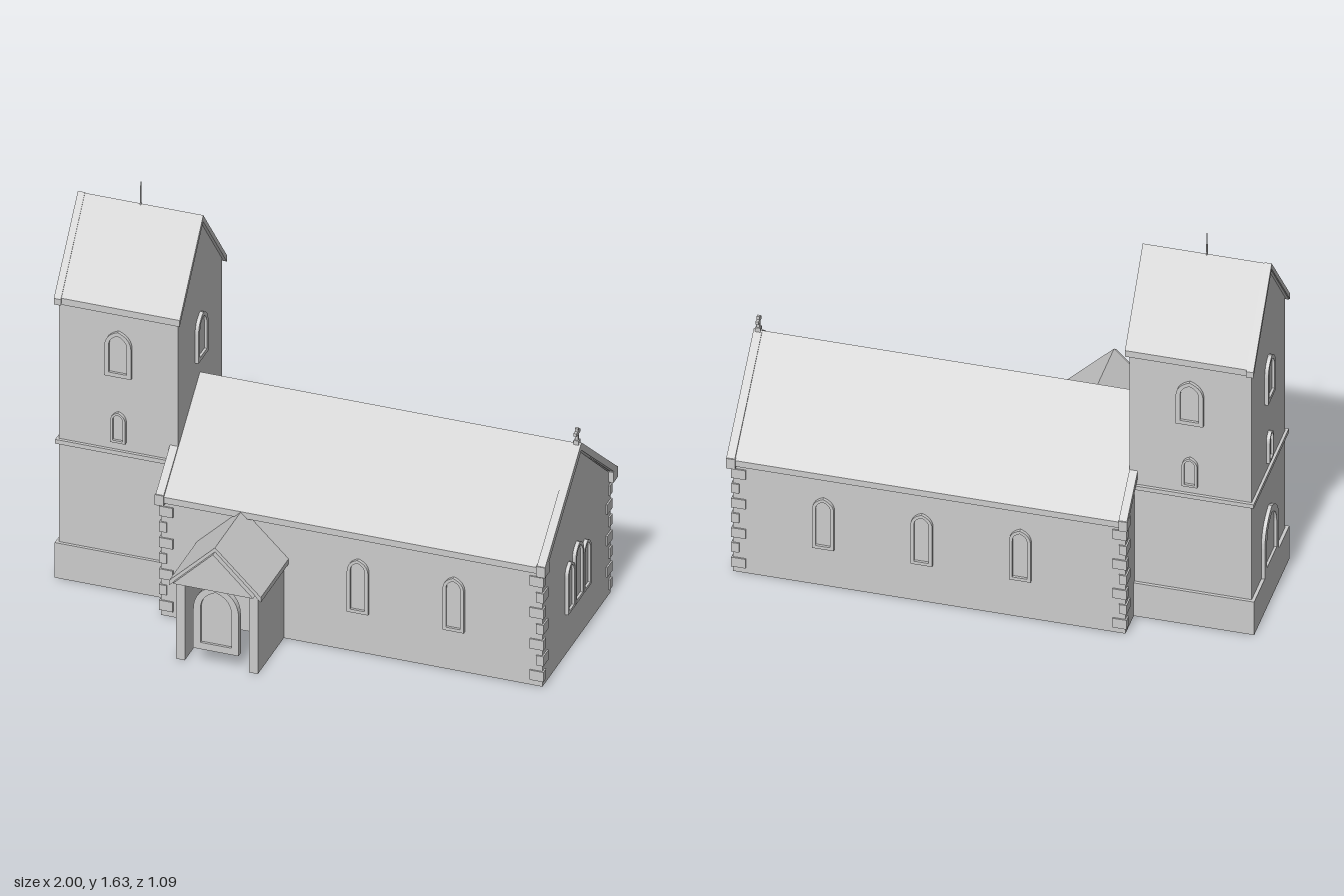
import * as THREE from 'three';

const ZC = -0.147; // centre line of nave and tower

export function createModel() {
  const model = new THREE.Group();
  const stone = new THREE.MeshStandardMaterial({ color: 0xcccccc });
  stone.name = 'paleStone';

  function add(geometry, name, parent = model) {
    const mesh = new THREE.Mesh(geometry, stone);
    mesh.name = name;
    parent.add(mesh);
    return mesh;
  }
  // box given by its limits
  function block(name, x0, x1, y0, y1, z0, z1, parent) {
    const mesh = add(new THREE.BoxGeometry(x1 - x0, y1 - y0, z1 - z0), name, parent);
    mesh.position.set((x0 + x1) / 2, (y0 + y1) / 2, (z0 + z1) / 2);
    return mesh;
  }
  const polygon = pts => new THREE.Shape(pts.map(p => new THREE.Vector2(...p)));
  const extrude = (shape, depth) =>
    new THREE.ExtrudeGeometry(shape, { depth, bevelEnabled: false, curveSegments: 8 });
  // symmetric section extruded along x
  function alongX(name, shape, x0, x1) {
    const mesh = add(extrude(shape, x1 - x0).rotateY(Math.PI / 2), name);
    mesh.position.set(x0, 0, ZC);
    return mesh;
  }
  const gable = (half, base, eave, apex) =>
    polygon([[-half, base], [half, base], [half, eave], [0, apex], [-half, eave]]);
  const chevron = (half, eave, apex, t) =>
    polygon([[-half, eave - t], [0, apex - t], [half, eave - t], [half, eave], [0, apex], [-half, eave]]);

  function arch(w, h, lift = 0, Type = THREE.Shape) {
    const s = new Type();
    const r = w / 2, spring = h - w * 0.65;
    s.moveTo(-r, lift);
    s.lineTo(r, lift);
    s.lineTo(r, spring);
    s.quadraticCurveTo(r, h - w * 0.18, 0, h);
    s.quadraticCurveTo(-r, h - w * 0.18, -r, spring);
    s.closePath();
    return s;
  }
  // raised arched surround with a shallow pane, facing by angle
  function arched(name, x, y, z, w, h, angle) {
    const group = new THREE.Group();
    group.name = name;
    const frame = arch(w, h);
    const rim = w * 0.16;
    frame.holes.push(arch(w - 2 * rim, h - rim, rim, THREE.Path));
    add(extrude(frame, 0.014), 'surround', group);
    add(extrude(arch(w - rim, h - rim / 2, rim / 2), 0.004), 'pane', group);
    group.position.set(x, y, z);
    group.rotation.y = angle;
    model.add(group);
  }
  const SOUTH = 0, EAST = Math.PI / 2, NORTH = Math.PI, WEST = -Math.PI / 2;

  // nave
  const naveHalf = 0.367;
  alongX('naveWalls', gable(naveHalf, 0, 0.515, 0.825), -0.535, 0.98);
  alongX('naveRoof', chevron(0.39, 0.527, 0.853, 0.027), -0.53, 0.985);
  for (const [x0, x1] of [[-0.547, -0.515], [0.967, 1.0]]) {
    alongX('gableCoping', chevron(0.395, 0.532, 0.858, 0.033), x0, x1);
    for (const s of [-1, 1]) {
      const z = ZC + s * 0.37;
      block('kneeler', x0 - 0.002, x1, 0.49, 0.535, z - 0.026, z + 0.026);
    }
  }

  // corner stones, alternately long and short
  for (const [cx, sx] of [[-0.535, -1], [0.98, 1]]) {
    for (const sz of [-1, 1]) {
      for (let i = 0; i < 7; i++) {
        const long = i % 2 === 0;
        const lx = long ? 0.055 : 0.03, lz = long ? 0.03 : 0.055;
        const stoneBlock = add(new THREE.BoxGeometry(lx, 0.042, lz), 'cornerStone');
        stoneBlock.position.set(cx + sx * (0.006 - lx / 2), 0.045 + i * 0.068,
          ZC + sz * (naveHalf + 0.006 - lz / 2));
      }
    }
  }

  // nave windows
  for (const x of [0.25, 0.63]) arched('southWindow', x, 0.175, ZC + naveHalf, 0.084, 0.23, SOUTH);
  for (const x of [-0.13, 0.25, 0.63]) arched('northWindow', x, 0.175, ZC - naveHalf, 0.084, 0.23, NORTH);
  for (const [dz, w, h] of [[-0.087, 0.075, 0.21], [0, 0.09, 0.25], [0.087, 0.075, 0.21]])
    arched('eastWindow', 0.98, 0.177, ZC + dz, w, h, EAST);

  // gable cross
  block('crossPost', 0.976, 0.988, 0.845, 0.918, ZC - 0.006, ZC + 0.006);
  block('crossArms', 0.976, 0.988, 0.892, 0.905, ZC - 0.022, ZC + 0.022);
  block('crossFoot', 0.972, 0.992, 0.845, 0.868, ZC - 0.01, ZC + 0.01);

  // tower
  const towerHalf = 0.2375;
  alongX('towerWalls', gable(towerHalf, 0, 1.215, 1.51), -0.987, -0.515);
  block('towerPlinth', -1, -0.52, 0, 0.152, ZC - 0.25, ZC + 0.25);
  block('stringCourse', -0.998, -0.505, 0.582, 0.6, ZC - 0.25, ZC + 0.25);
  alongX('towerRoof', chevron(0.254, 1.22, 1.535, 0.028), -0.998, -0.502);
  alongX('towerCoping', chevron(0.26, 1.217, 1.538, 0.026), -1, -0.972);
  const spike = add(new THREE.CylinderGeometry(0.002, 0.004, 0.11, 8), 'towerSpike');
  spike.position.set(-0.75, 1.575, ZC);

  // tower openings
  const tx = -0.75;
  arched('towerSouthWindow', tx, 0.92, ZC + towerHalf, 0.106, 0.195, SOUTH);
  arched('towerNorthWindow', tx, 0.92, ZC - towerHalf, 0.106, 0.195, NORTH);
  arched('towerEastWindow', -0.515, 0.92, ZC, 0.106, 0.195, EAST);
  arched('towerWestWindow', -0.987, 0.92, ZC, 0.106, 0.195, WEST);
  arched('towerSouthSlit', tx, 0.635, ZC + towerHalf, 0.06, 0.13, SOUTH);
  arched('towerNorthSlit', tx, 0.635, ZC - towerHalf, 0.06, 0.13, NORTH);
  arched('towerWestSlit', -0.987, 0.635, ZC, 0.06, 0.13, WEST);
  arched('westDoor', -0.987, 0.152, ZC, 0.2, 0.27, WEST);

  // porch with open floor
  const px = -0.21;
  for (const s of [-1, 1]) {
    const c = px + s * 0.145;
    block('porchWall', c - 0.018, c + 0.018, 0, 0.36, 0.2, 0.5);
  }
  const porchRoof = add(extrude(chevron(0.182, 0.347, 0.525, 0.022), 0.3), 'porchRoof');
  porchRoof.position.set(px, 0, 0.22);
  const porchGable = add(extrude(polygon([[-0.16, 0.35], [0.16, 0.35], [0, 0.508]]), 0.06), 'porchGable');
  porchGable.position.set(px, 0, 0.483);
  arched('porchDoor', px, 0.068, 0.496, 0.18, 0.285, SOUTH);
  const doorBack = add(extrude(arch(0.18, 0.285), 0.012), 'porchDoorBack');
  doorBack.position.set(px, 0.068, 0.485);

  return model;
}
